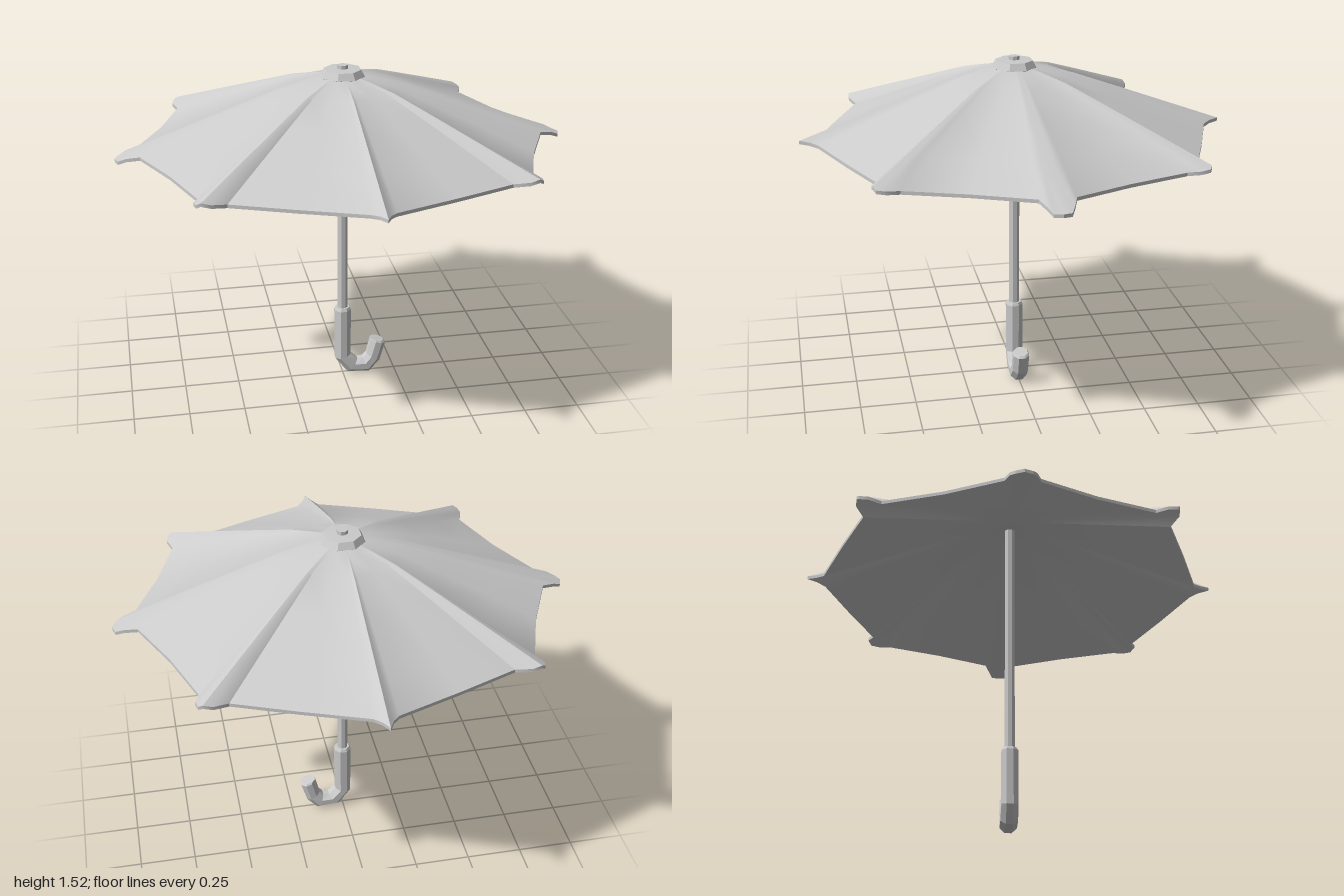
import * as THREE from 'three';
import { toCreasedNormals } from 'three/addons/utils/BufferGeometryUtils.js';

// Skin a list of closed cross-sections (each an array of [x, y, z])
function loft(rings) {
  const n = rings[0].length, index = [];
  for (let i = 0; i < rings.length - 1; i++) {
    for (let j = 0; j < n; j++) {
      const a = i * n + j, b = i * n + (j + 1) % n;
      index.push(a, b, a + n, b, b + n, a + n);
    }
  }
  const g = new THREE.BufferGeometry();
  g.setAttribute('position', new THREE.Float32BufferAttribute(rings.flat(2), 3));
  g.setIndex(index);
  return g;
}

// Canopy rim over one quarter, from the side rib round to the front rib: x, z, y
const QUARTER = [
  [1, 0, 1.165], [0.988, 0.036, 1.163], [0.95, 0.055, 1.18], [0.893, 0.075, 1.19],
  [0.78, 0.32, 1.187],
  [0.69, 0.58, 1.187], [0.71, 0.635, 1.195], [0.703, 0.675, 1.2], [0.685, 0.685, 1.21],
  [0.645, 0.688, 1.2], [0.58, 0.66, 1.187],
  [0.32, 0.765, 1.187],
  [0.052, 0.865, 1.187], [0.022, 0.9, 1.193], [0, 0.945, 1.197],
];

function canopyGeometry() {
  const mirrored = QUARTER.slice(1, -1).reverse().map(([x, z, y]) => [-x, z, y]);
  const half = [...QUARTER, ...mirrored];
  const rim = [...half, ...half.map(([x, z, y]) => [-x, -z, y])];
  // Rows from hub to rim: fraction of the way out, and the dome's bulge there
  const rows = [[0, 0], [0.08, 0.01], [0.22, 0.02], [0.45, 0.015], [0.75, 0.007], [1, 0]];
  const ring = ([t, bulge], drop) => rim.map(([x, z, y]) => {
    const s = THREE.MathUtils.lerp(0.07 / Math.hypot(x, z), 1, t);
    return [x * s, THREE.MathUtils.lerp(1.487, y, t) + bulge - drop, z * s];
  });
  const top = rows.map((r) => ring(r, 0));
  const under = rows.map((r) => ring(r, 0.015)).reverse();
  return toCreasedNormals(loft([...top, ...under, top[0]]), 0.6);
}

function handleGeometry() {
  // Hook path: x, y, radius, direction of the section's inner side in degrees
  const path = [
    [0, 0.358, 0, 0], [0, 0.358, 0.031, 0], [0, 0.345, 0.037, 0], [0, 0.1, 0.037, 14],
    [0.045, 0.047, 0.039, 52], [0.112, 0.044, 0.039, 112], [0.146, 0.082, 0.036, 148],
    [0.169, 0.165, 0.036, 165], [0.166, 0.174, 0.031, 165], [0.166, 0.174, 0, 165],
  ];
  return loft(path.map(([x, y, r, deg]) => {
    const a = THREE.MathUtils.degToRad(deg);
    return Array.from({ length: 8 }, (_, j) => {
      const q = (j + 0.5) * Math.PI / 4, u = r * Math.cos(q) / Math.cos(Math.PI / 8);
      return [x + u * Math.cos(a), y + u * Math.sin(a), r * Math.sin(q) / Math.cos(Math.PI / 8)];
    });
  })).toNonIndexed();
}

export function createModel() {
  const group = new THREE.Group();
  group.name = 'umbrella';
  const smooth = new THREE.MeshStandardMaterial({ color: 0xcccccc });
  const flat = new THREE.MeshStandardMaterial({ color: 0xcccccc, flatShading: true });
  const add = (name, geometry, material) => {
    const mesh = new THREE.Mesh(geometry, material);
    mesh.name = name;
    group.add(mesh);
    return mesh;
  };

  add('canopy', canopyGeometry(), smooth);

  // Eight-sided cap over the hub
  const capProfile = [[0, 1.472], [0.085, 1.472], [0.1, 1.482], [0.083, 1.512], [0, 1.515]]
    .map(([x, y]) => new THREE.Vector2(x, y));
  add('cap', new THREE.LatheGeometry(capProfile, 8, Math.PI / 8), flat);

  // Shaft runs through the cap and ends as a short tip
  const shaft = add('shaft', new THREE.CylinderGeometry(0.024, 0.024, 1.19, 8), flat);
  shaft.position.y = 0.935;
  shaft.rotation.y = Math.PI / 8;

  const handle = handleGeometry();
  handle.computeVertexNormals();
  add('handle', handle, flat);

  return group;
}
